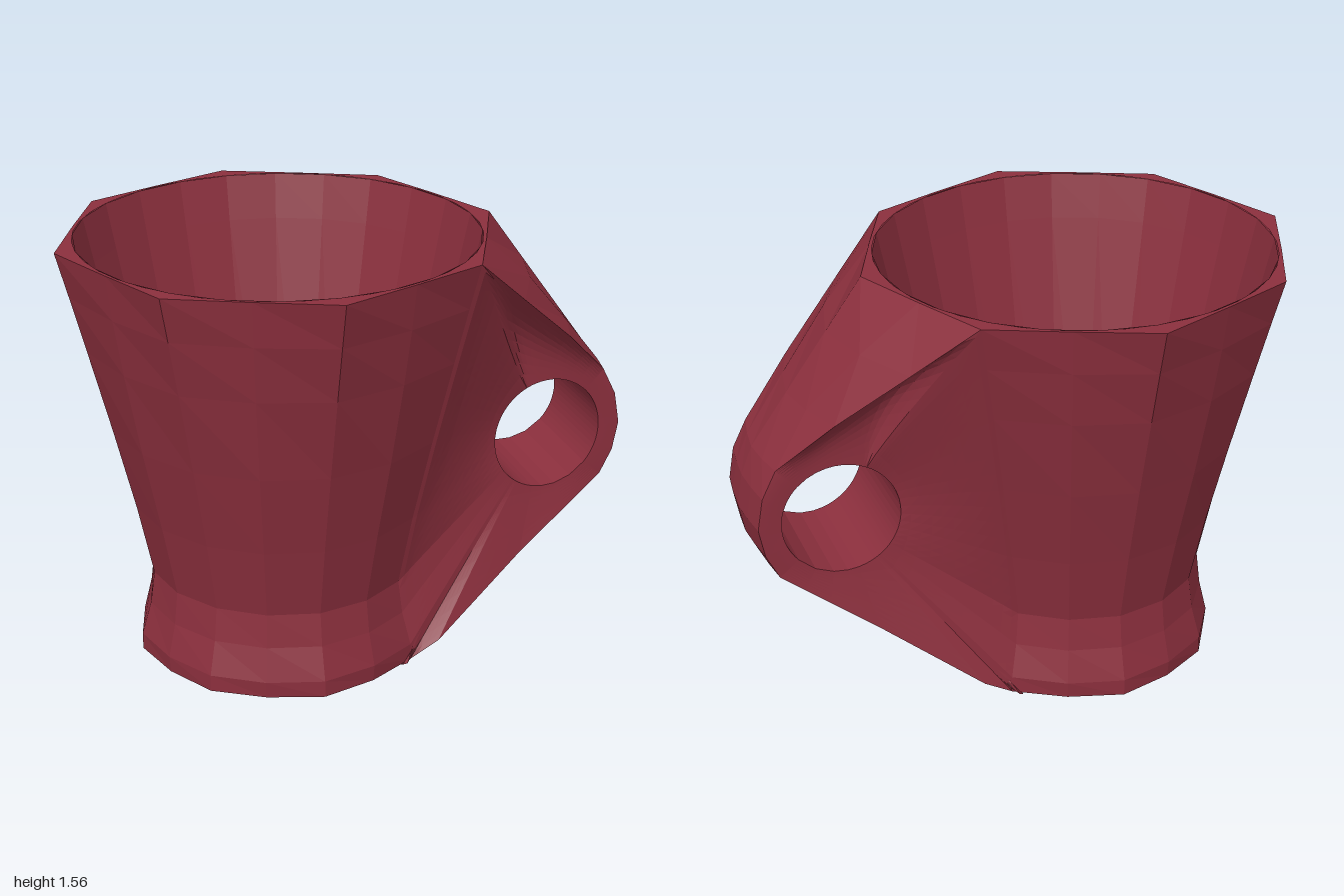
import * as THREE from 'three';

const CX = -0.235;                       // cup axis
const HOLE = { x: 0.69, y: 0.785, r: 0.205 };
const TOP = 1.56;

// outer cup by height, top to bottom: y, radius, roundness (0.924 is a true octagon)
const PROFILE = [[TOP, 0.765, 0.922], [1.4, 0.723, 0.945], [1.2, 0.672, 0.965], [0.9, 0.597, 0.985],
  [0.6, 0.526, 0.99], [0.34, 0.473, 0.99], [0.22, 0.49, 0.985], [0.1, 0.525, 0.975],
  [0.04, 0.525, 0.965], [0, 0.44, 0.93]];

// handle strap rows: y, edge x, edge z, centre x
const c45 = Math.SQRT1_2 * 0.987;
const corner = (r) => [CX + r * c45, r * c45];
const STRAP = [
  [TOP, ...corner(0.765), 0.53], [1.38, 0.5, 0.425, 0.66], [1.18, 0.725, 0.3, 0.805],
  [1.0, 0.905, 0.2, 0.935], [0.9, 0.955, 0.2, 0.975], [0.785, 0.975, 0.2, 0.995],
  [0.68, 0.955, 0.2, 0.975], [0.59, 0.91, 0.2, 0.93], [0.35, 0.58, 0.265, 0.655],
  [0.1, 0.235, 0.37, 0.37], [0.04, ...corner(0.525), 0.3], [0, ...corner(0.44), 0.205]];

function radiusAt(y) {
  const i = Math.max(1, PROFILE.findIndex((p) => y >= p[0]));
  const [y0, r0] = PROFILE[i - 1], [y1, r1] = PROFILE[i];
  return r0 + (r1 - r0) * (y0 - y) / (y0 - y1);
}

// larger of two values with a rounded fillet of width k
function blend(a, b, k) {
  const h = Math.max(k - Math.abs(a - b), 0);
  return Math.max(a, b) + h * h / (4 * k);
}

// surface through rows of points
function grid(rows) {
  const n = rows[0].length, index = [];
  for (let i = 0; i < rows.length - 1; i++) {
    for (let j = 0; j < n - 1; j++) {
      const a = i * n + j, b = a + n;
      index.push(a, b, b + 1, a, b + 1, a + 1);
    }
  }
  const g = new THREE.BufferGeometry();
  g.setAttribute('position', new THREE.Float32BufferAttribute(rows.flat(2), 3));
  g.setIndex(index);
  g.computeVertexNormals();
  return g;
}

// octagon at the lip, nearly round further down
function ringPoint([y, r, round], k) {
  const a = k * Math.PI / 8;
  const s = r * (k % 2 ? round : k % 4 ? 0.987 : 1);
  return [CX + s * Math.cos(a), y, -s * Math.sin(a)];
}

export function createModel() {
  const group = new THREE.Group();
  const material = new THREE.MeshStandardMaterial({ color: 0x8b2f3d, flatShading: true, side: THREE.DoubleSide });
  material.name = 'wine red';
  const add = (name, geometry) => {
    const mesh = new THREE.Mesh(geometry, material);
    mesh.name = name;
    group.add(mesh);
    return mesh;
  };

  // cup wall, open towards the handle
  add('cupWall', grid(PROFILE.map((p) => Array.from({ length: 13 }, (_, k) => ringPoint(p, k + 2)))));

  // broad outer strap of the handle
  add('handleStrap', grid(STRAP.map(([y, ex, ez, cx]) => {
    const f = y > 1.5 || y < 0.05 ? 0.5 : 0.35;
    const mx = cx + (ex - cx) * f;
    return [[ex, y, ez], [mx, y, ez / 2], [cx, y, 0], [mx, y, -ez / 2], [ex, y, -ez]];
  })));

  // closed outline of a handle side: down the strap edge, back up the cup
  const outline = [
    ...STRAP.map(([y, x, z]) => [x, y, z]),
    ...PROFILE.slice(0, -1).reverse().map(([y, r]) => [corner(r)[0], y, corner(r)[1]])];
  const edge = [];
  for (let i = 0; i < outline.length - 1; i++) {
    for (let s = 0; s < 4; s++) {
      edge.push(outline[i].map((v, k) => v + (outline[i + 1][k] - v) * s / 4));
    }
  }
  edge.push(outline[0]);

  // handle sides run from that outline in to the round finger hole, thicker towards the cup
  const rim = edge.map(([x, y]) => {
    const a = Math.atan2(y - HOLE.y, x - HOLE.x);
    return [HOLE.x + HOLE.r * Math.cos(a), HOLE.y + HOLE.r * Math.sin(a), 0.217 - 0.015 * Math.cos(a)];
  });
  const { smoothstep } = THREE.MathUtils;
  const steps = [1, 0.95, 0.88, 0.8, 0.7, 0.6, 0.5, 0.4, 0.3, 0.2, 0.1, 0];
  const rows = steps.map((t) => edge.map(([ex, ey, ez], j) => {
    const [rx, ry, rz] = rim[j];
    const x = rx + (ex - rx) * t, y = ry + (ey - ry) * t;
    if (t === 1) return [x, y, ez];
    if (t === 0) return [x, y, rz];
    const r = radiusAt(y), d = x - CX;
    const cup = Math.sqrt(Math.max(0, r * r - d * d));
    // hollow under the upper strap, nearly straight elsewhere
    const power = 1.15 + 2.2 * smoothstep(ex, 0.28, 0.55) * smoothstep(ey, 0.6, 1);
    const flare = rz + (ez - rz) * Math.pow(t, power);
    return [x, y, blend(cup, flare, 0.3 * t * (1 - t))];
  }));
  add('handleSideFront', grid(rows));
  add('handleSideBack', grid(rows.map((row) => row.map(([x, y, z]) => [x, y, -z]).reverse())));
  add('fingerHole', grid([1, -1].map((side) => rim.map(([x, y, z]) => [x, y, side * z]))));

  // flat rim and foot
  const ringShape = (p) => new THREE.Shape(Array.from({ length: 16 }, (_, k) => {
    const [x, , z] = ringPoint(p, k);
    return new THREE.Vector2(x, -z);
  }));
  const lip = ringShape(PROFILE[0]);
  lip.holes.push(new THREE.Path().absarc(CX, 0, 0.695, 0, Math.PI * 2, true));
  add('rim', new THREE.ShapeGeometry(lip, 20).rotateX(-Math.PI / 2).translate(0, TOP, 0));
  add('foot', new THREE.ShapeGeometry(ringShape(PROFILE[PROFILE.length - 1])).rotateX(Math.PI / 2));

  // tapered inside with a flat floor
  const inside = [[0.695, TOP], [0.66, 1.4], [0.39, 0.2], [0.385, 0.17], [0, 0.17]]
    .map(([r, y]) => new THREE.Vector2(r, y));
  add('inside', new THREE.LatheGeometry(inside, 24)).position.x = CX;

  return group;
}
